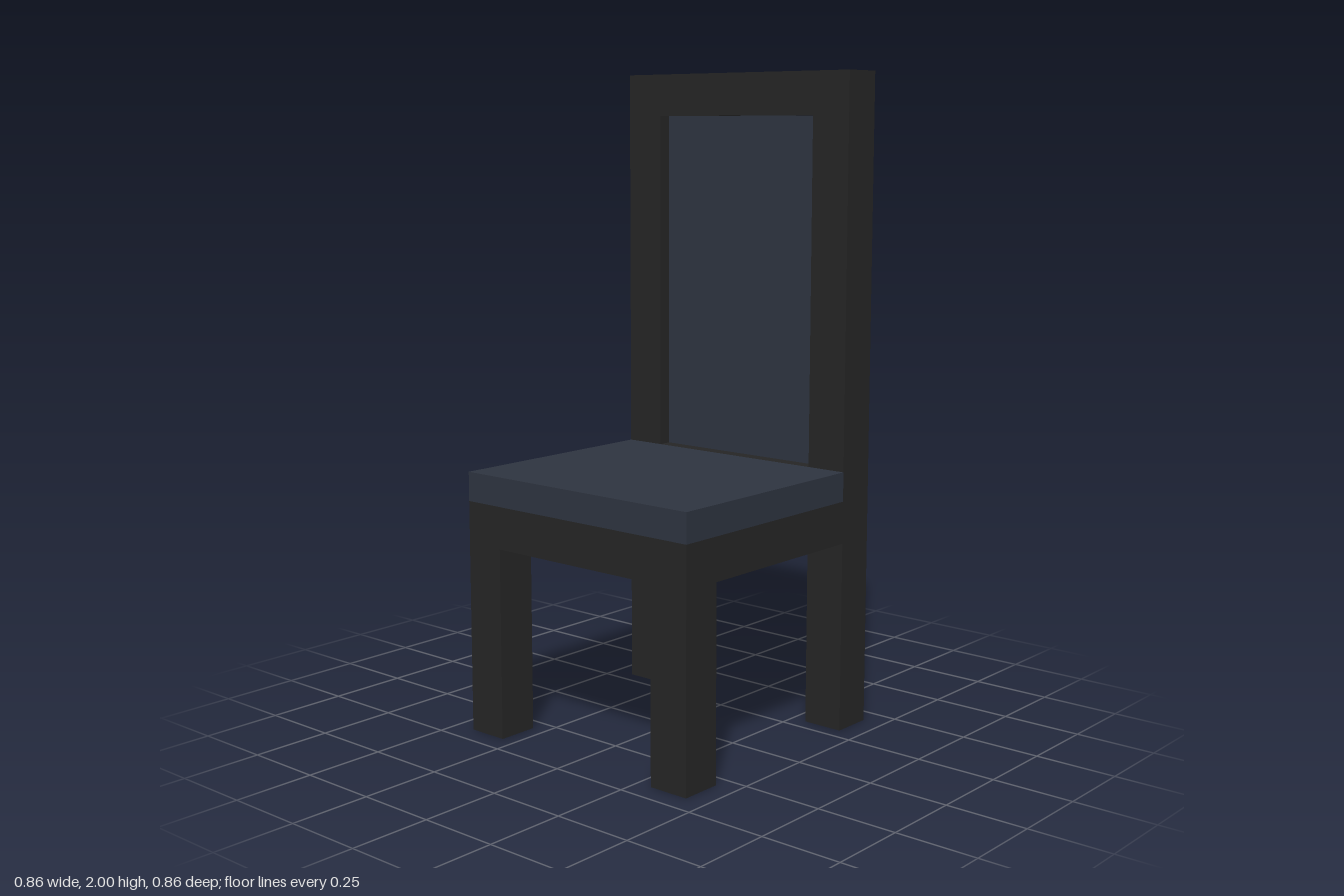
import * as THREE from 'three';

const W = 0.43;        // half width and half depth
const T = 0.13;        // leg and frame thickness
const IN = W - T;      // inner edge of legs and frame
const APRON = 0.59, CUSHION = 0.72, SEAT = 0.81, TOP = 2;
const RECESS = 0.045;  // depth of the backrest panel

const wood = new THREE.MeshStandardMaterial({ color: 0x252525 });
const fabric = new THREE.MeshStandardMaterial({ color: 0x2e3440 });

export function createModel() {
  const chair = new THREE.Group();
  chair.name = 'chair';

  const add = (name, geometry, material) => {
    const mesh = new THREE.Mesh(geometry, material);
    mesh.name = name;
    chair.add(mesh);
    return mesh;
  };

  // Box given by its minimum and maximum corners
  const box = (name, material, [x0, y0, z0], [x1, y1, z1]) =>
    add(name, new THREE.BoxGeometry(x1 - x0, y1 - y0, z1 - z0), material)
      .position.set((x0 + x1) / 2, (y0 + y1) / 2, (z0 + z1) / 2);

  // Back outline: two legs running up into one tall slab
  const backShape = () => new THREE.Shape([
    [-W, 0], [-IN, 0], [-IN, APRON], [IN, APRON],
    [IN, 0], [W, 0], [W, TOP], [-W, TOP],
  ].map(([x, y]) => new THREE.Vector2(x, y)));

  const slab = (name, shape, z0, z1) =>
    add(name, new THREE.ExtrudeGeometry(shape, { depth: z1 - z0, bevelEnabled: false }), wood)
      .position.z = z0;

  // Solid rear layer and a front layer with the panel opening
  slab('backBoard', backShape(), -W, -IN - RECESS);
  const frame = backShape();
  frame.holes.push(new THREE.Path([
    [-IN, SEAT], [-IN, TOP - T], [IN, TOP - T], [IN, SEAT],
  ].map(([x, y]) => new THREE.Vector2(x, y))));
  slab('backFrame', frame, -IN - RECESS, -IN);

  // Upholstered panel lying in the recess
  box('backPanel', fabric, [-IN, SEAT, -IN - RECESS - 0.01], [IN, TOP - T, -IN - RECESS + 0.002]);

  // Seat base and cushion
  box('seatBase', wood, [-W, APRON, -IN], [W, CUSHION, W]);
  box('seatCushion', fabric, [-W, CUSHION, -IN], [W, SEAT, W]);

  // Front legs
  box('leftFrontLeg', wood, [IN, 0, IN], [W, APRON, W]);
  box('rightFrontLeg', wood, [-W, 0, IN], [-IN, APRON, W]);

  return chair;
}
